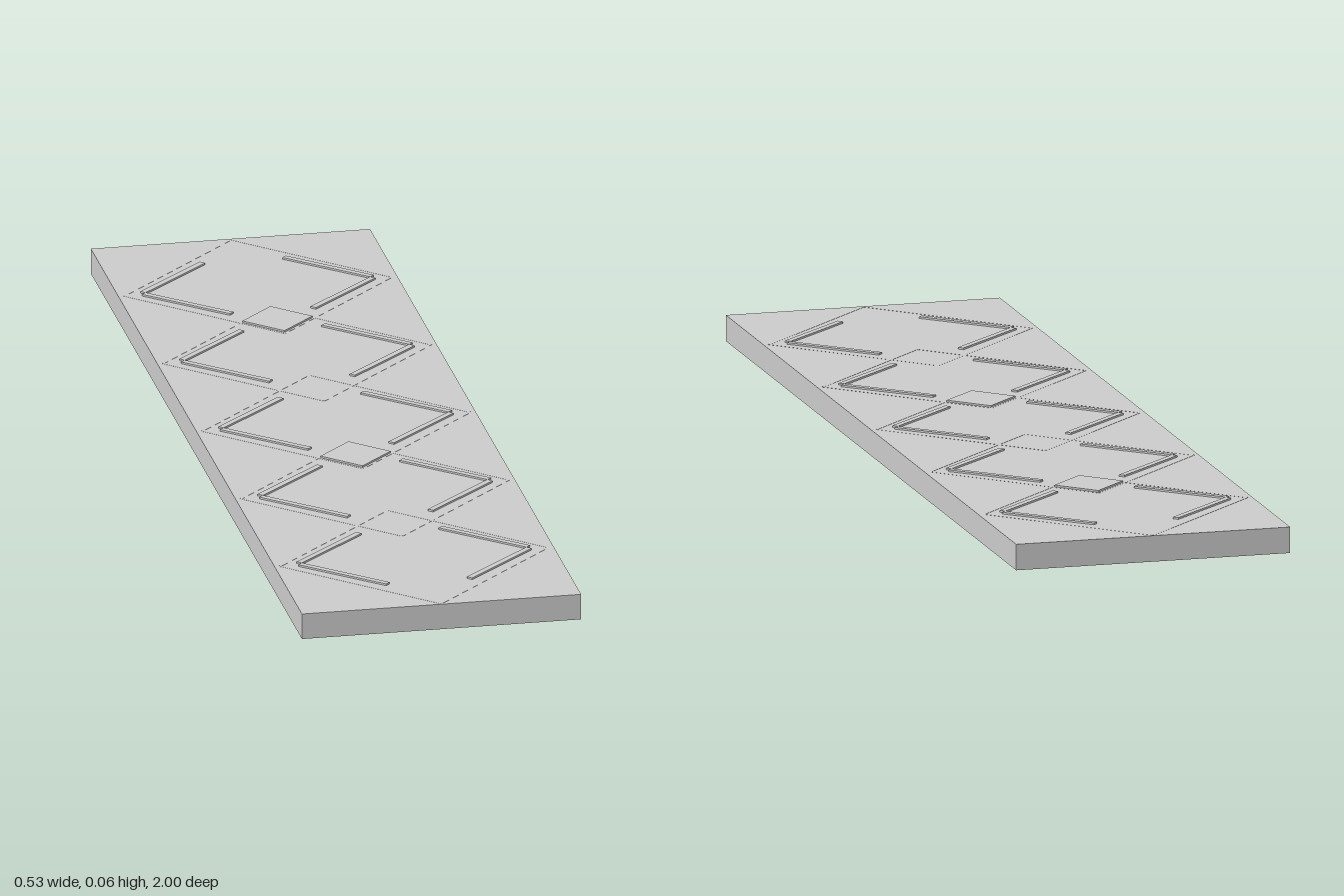
import * as THREE from 'three';

const material = new THREE.MeshStandardMaterial({ color: 0xcccccc, side: THREE.DoubleSide, flatShading: true });

const WIDTH = 0.534, LENGTH = 2, BOTTOM = 0.007, TOP = 0.057, PEAK = 0.0605;
const PITCH = 0.37;      // spacing of the diamonds along z
const RADIUS = 0.26;     // centre to corner of a diamond

function addMesh(parent, name, geometry) {
  const mesh = new THREE.Mesh(geometry, material);
  mesh.name = name;
  parent.add(mesh);
  return mesh;
}

// Upright board standing between two points on the floor plan
function addBoard(parent, name, [x0, z0], [x1, z1], y0, y1, thickness) {
  const length = Math.hypot(x1 - x0, z1 - z0);
  const board = addMesh(parent, name, new THREE.BoxGeometry(length, y1 - y0, thickness));
  board.position.set((x0 + x1) / 2, (y0 + y1) / 2, (z0 + z1) / 2);
  board.rotation.y = -Math.atan2(z1 - z0, x1 - x0);
}

export function createModel() {
  const model = new THREE.Group();
  model.name = 'latticePanel';

  // Shallow tray turned upside down: the bottom face is left out
  const shell = new THREE.BoxGeometry(WIDTH, TOP - BOTTOM, LENGTH);
  const faces = Array.from(shell.index.array);
  faces.splice(18, 6);
  shell.setIndex(faces);
  shell.clearGroups();
  addMesh(model, 'shell', shell).position.y = (TOP + BOTTOM) / 2;

  // Five overlapping diamonds, each with outer ribs and raised slats
  for (let i = -2; i <= 2; i++) {
    const diamond = new THREE.Group();
    diamond.name = 'diamond';
    diamond.position.z = i * PITCH;
    for (const sx of [-1, 1]) {
      for (const sz of [-1, 1]) {
        const r = RADIUS - 0.004;
        addBoard(diamond, 'rib', [sx * r, 0], [0, sz * r], BOTTOM, TOP + 0.0003, 0.005);
        addBoard(diamond, 'slat', [sx * 0.219, sz * 0.004], [sx * 0.078, sz * 0.138], 0, PEAK, 0.012);
      }
    }
    model.add(diamond);
  }

  // Raised square plates where two diamonds overlap
  for (const z of [-1.5 * PITCH, 0.5 * PITCH]) {
    const side = 0.067 * Math.SQRT2;
    const plate = addMesh(model, 'plate', new THREE.BoxGeometry(side, PEAK - TOP, side));
    plate.position.set(0, (PEAK + TOP) / 2, z);
    plate.rotation.y = Math.PI / 4;
  }

  return model;
}
